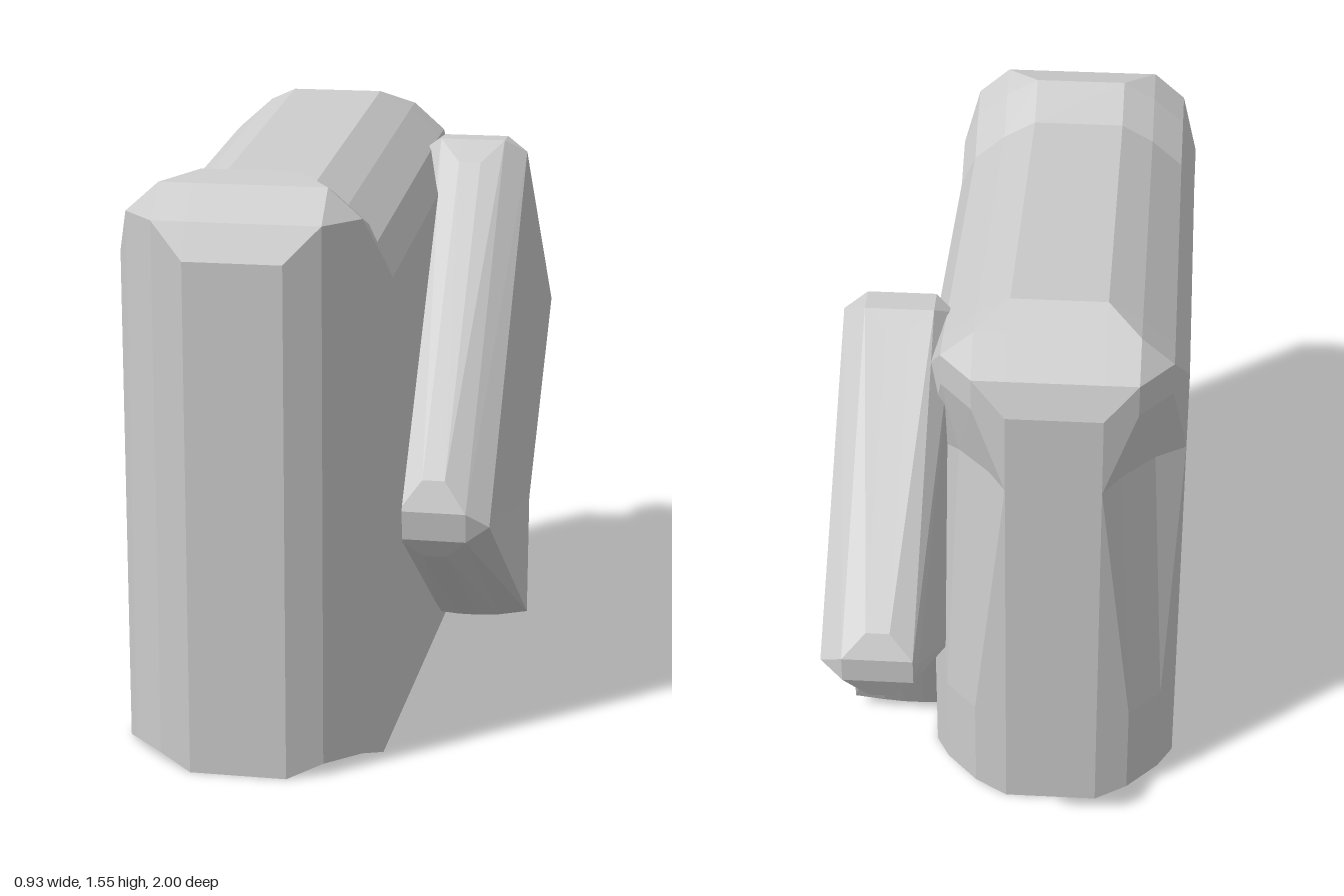
import * as THREE from 'three';

// Skins matching rings (counter-clockwise seen from the + end) and fans both end caps from index f.
function loft(name, rings, f = 0) {
  const pos = [];
  const normal = (a, b, c) => b.clone().sub(a).cross(c.clone().sub(a));
  const tri = (a, b, c) => {
    if (normal(a, b, c).length() > 1e-7) for (const p of [a, b, c]) pos.push(p.x, p.y, p.z);
  };
  // split each quad along the diagonal that bulges outwards
  const quad = (a, b, c, d) => {
    if (normal(a, b, c).dot(d.clone().sub(a)) <= 0) {
      tri(a, b, c);
      tri(a, c, d);
    } else {
      tri(a, b, d);
      tri(b, c, d);
    }
  };
  const n = rings[0].length;
  for (let k = 0; k < rings.length - 1; k++) {
    for (let j = 0; j < n; j++) {
      const i = (j + 1) % n, r = rings[k], s = rings[k + 1];
      quad(r[j], r[i], s[i], s[j]);
    }
  }
  const first = rings[0], last = rings[rings.length - 1];
  for (let j = 1; j < n - 1; j++) {
    const b = (f + j) % n, c = (f + j + 1) % n;
    tri(last[f], last[b], last[c]);
    tri(first[f], first[c], first[b]);
  }
  const geo = new THREE.BufferGeometry();
  geo.setAttribute('position', new THREE.Float32BufferAttribute(pos, 3));
  geo.computeVertexNormals();
  const mesh = new THREE.Mesh(geo, new THREE.MeshStandardMaterial({ color: 0xcccccc, flatShading: true }));
  mesh.name = name;
  return mesh;
}

// Upright block: half widths and drops from the top describe one rounded quarter.
function makeBlock() {
  const H = [0.3375, 0.2975, 0.2125, 0.125];
  const D = [0.215, 0.125, 0.05, 0];
  const cx = -0.1275;
  // z, top height, rounding step (0 = full section, 3 = end face), lift of the bottom edge, dent under the top
  const sections = [
    [-0.585, 1.545, 3, 0, 0], [-0.55, 1.545, 2, 0.02, 0.04], [-0.46, 1.555, 1, 0.02, 0.04], [-0.37, 1.55, 0, 0, 0],
    [0.66, 1.45, 0, 0, 0],
    [0.78, 1.52, 0, 0, 0], [0.87, 1.55, 1, 0.03, 0], [0.955, 1.545, 2, 0.03, 0], [1, 1.545, 3, 0, 0],
  ];
  const rings = sections.map(([z, top, k, lift, dent]) => {
    const half = H.map((h, j) => [Math.min(h, H[k]), top - Math.max(D[j], D[3 - k]), z]);
    half.unshift([H[k], lift, z], [H[k], 0.3, z], [H[k] - dent, 1.1, z + dent]);
    const right = half.map(([x, y, pz]) => new THREE.Vector3(cx + x, y, pz));
    const left = half.map(([x, y, pz]) => new THREE.Vector3(cx - x, y, pz)).reverse();
    return [...right, ...left];
  });
  return loft('uprightBlock', rings);
}

// Tilted slab: each corner has a face point and four rim points, all as [z, y].
function makeSlab() {
  const corners = [
    { face: [0.48, 0.53], rim: [[0.48, 0.65], [0.51, 0.57], [0.5, 0.49], [0.45, 0.43]], xl: 0.15, xr: 0.44 },
    { face: [-0.25, 0.04], rim: [[-0.22, 0.03], [-0.22, 0.035], [-0.25, 0.03], [-0.25, 0.025]], xl: 0.18, xr: 0.46 },
    { face: [-0.35, 0.36], rim: [[-0.39, 0.34], [-0.37, 0.35], [-0.37, 0.35], [-0.39, 0.34]], xl: 0.17, xr: 0.45 },
    { face: [-0.955, 0.825], rim: [[-0.965, 0.72], [-1, 0.8], [-1, 0.87], [-0.965, 0.93]], xl: 0.19, xr: 0.44 },
    { face: [-0.24, 1.41], rim: [[-0.33, 1.41], [-0.285, 1.445], [-0.21, 1.445], [-0.15, 1.39]], xl: 0.15, xr: 0.44 },
  ];
  const faceRing = (side) => corners.flatMap((c) =>
    [0, 1, 2, 3].map(() => new THREE.Vector3(c[side], c.face[1], c.face[0])));
  const rimRing = (x, pick) => corners.flatMap((c) =>
    pick.map((i) => new THREE.Vector3(x, c.rim[i][1], c.rim[i][0])));
  const full = [0, 1, 2, 3], inner = [1, 1, 2, 2];
  // caps fan from the inward corner so the notch stays open
  return loft('tiltedSlab', [
    faceRing('xl'), rimRing(0.2, inner), rimRing(0.26, full),
    rimRing(0.32, full), rimRing(0.38, inner), faceRing('xr'),
  ], 8);
}

export function createModel() {
  const group = new THREE.Group();
  group.name = 'blockWithSlab';
  group.add(makeBlock(), makeSlab());
  return group;
}
